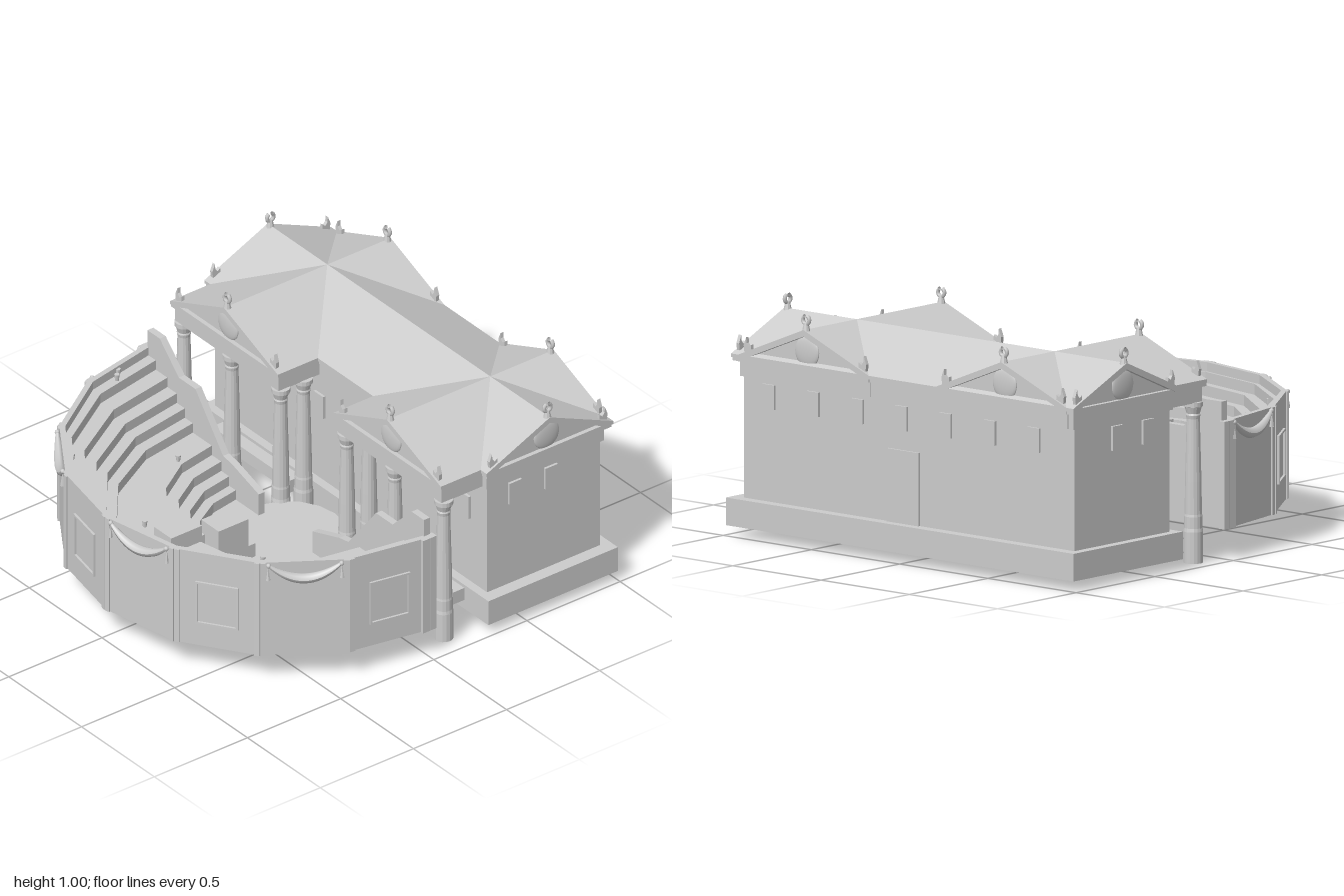
import * as THREE from 'three';

const mat = new THREE.MeshStandardMaterial({ color: 0xcccccc, flatShading: true, side: THREE.DoubleSide });
const smooth = new THREE.MeshStandardMaterial({ color: 0xcccccc, side: THREE.DoubleSide });
const STEP = Math.PI / 8;

function add(parent, name, geo, x = 0, y = 0, z = 0, m = mat) {
  const mesh = new THREE.Mesh(geo, m);
  mesh.name = name;
  mesh.position.set(x, y, z);
  parent.add(mesh);
  return mesh;
}

// box from its extents
function block(parent, name, x0, x1, y0, y1, z0, z1) {
  return add(parent, name, new THREE.BoxGeometry(x1 - x0, y1 - y0, z1 - z0),
    (x0 + x1) / 2, (y0 + y1) / 2, (z0 + z1) / 2);
}

function polygon(points) {
  return new THREE.Shape(points.map(([x, y]) => new THREE.Vector2(x, y)));
}

function extrude(shape, depth) {
  return new THREE.ExtrudeGeometry(shape, { depth, bevelEnabled: false });
}

// faceted half ring swept from a profile of [radiusX, radiusZ, y]
function halfRing(profile) {
  const pos = [];
  const at = ([rx, rz, y], k) => {
    const a = -Math.PI / 2 + k * STEP;
    return [Math.sin(a) * rx, y, Math.cos(a) * rz];
  };
  for (let i = 0; i < profile.length - 1; i++) {
    for (let k = 0; k < 8; k++) {
      const a = at(profile[i], k), b = at(profile[i], k + 1);
      const c = at(profile[i + 1], k + 1), d = at(profile[i + 1], k);
      pos.push(...a, ...b, ...c, ...a, ...c, ...d);
    }
  }
  const geo = new THREE.BufferGeometry();
  geo.setAttribute('position', new THREE.Float32BufferAttribute(pos, 3));
  geo.computeVertexNormals();
  return geo;
}

// upright horn at gable corners
function cornerOrnament(parent, x, y, z, side) {
  const s = polygon([[-0.022, 0], [0.018, 0], [0.022, 0.03], [0.008, 0.065], [0.006, 0.04], [-0.006, 0.025], [-0.02, 0.035]]);
  const horn = add(parent, 'cornerOrnament', extrude(s, 0.016), x, y, z - 0.008);
  horn.scale.x = side;
}

// open ring on a short foot at the gable peak
function peakOrnament(parent, y, z) {
  add(parent, 'peakFoot', new THREE.CylinderGeometry(0.01, 0.018, 0.036, 8), 0, y + 0.012, z);
  const ring = add(parent, 'peakRing', new THREE.TorusGeometry(0.018, 0.009, 6, 14, Math.PI * 1.7), 0, y + 0.043, z, smooth);
  ring.rotation.z = Math.PI * 0.65;
}

// gabled roof along local z, from -length/2 to length/2, with a pediment at each end
function gableRoof(half, length) {
  const g = new THREE.Group();
  const y0 = 0.772, y1 = 0.938, t = 0.028;
  add(g, 'pediment', extrude(polygon([[-half + 0.02, y0], [half - 0.02, y0], [0, y1 - 0.01]]), length - 0.05), 0, 0, -length / 2 + 0.025);
  const slab = polygon([[-half, y0], [-half, y0 + 0.015], [0, y1], [half, y0 + 0.015], [half, y0], [half - 0.03, y0], [0, y1 - t], [-half + 0.03, y0]]);
  add(g, 'roofSlopes', extrude(slab, length), 0, 0, -length / 2);
  for (const end of [-1, 1]) {
    const disc = add(g, 'pedimentBoss', new THREE.SphereGeometry(0.068, 20, 14), 0, 0.842, end * (length / 2 - 0.025), smooth);
    disc.scale.z = 0.2;
    const z = end * (length / 2 - 0.018);
    peakOrnament(g, y1 - 0.002, z);
    for (const s of [-1, 1]) cornerOrnament(g, s * (half - 0.045), 0.8, z, s);
  }
  return g;
}

function column(parent, x, z) {
  const pts = [[0, 0], [0.042, 0], [0.042, 0.135], [0.039, 0.15], [0.039, 0.2], [0.037, 0.21], [0.035, 0.35],
    [0.028, 0.62], [0.031, 0.635], [0.028, 0.642], [0.037, 0.67], [0.041, 0.672], [0.041, 0.692], [0, 0.692]];
  add(parent, 'column', new THREE.LatheGeometry(pts.map(p => new THREE.Vector2(...p)), 16), x, 0, z);
}

function buildHall() {
  const g = new THREE.Group();
  g.name = 'stageHall';
  block(g, 'podium', -0.985, 0.985, 0.046, 0.165, -1, -0.305);
  block(g, 'walls', -0.945, 0.925, 0.165, 0.7, -0.95, -0.345);
  block(g, 'entablature', -0.955, 0.935, 0.69, 0.765, -0.965, -0.335);
  block(g, 'cornice', -0.975, 0.955, 0.758, 0.782, -0.99, -0.32);

  const main = gableRoof(0.34, 1.94);
  main.name = 'mainRoof';
  main.rotation.y = Math.PI / 2;
  main.position.set(-0.01, 0, -0.655);
  g.add(main);

  // two porticoed cross wings
  for (const s of [-1, 1]) {
    const cx = -0.01 + s * 0.56;
    block(g, 'wingEntablature', cx - 0.355, cx + 0.355, 0.69, 0.765, -0.97, -0.115);
    block(g, 'wingCornice', cx - 0.37, cx + 0.37, 0.758, 0.782, -0.995, -0.105);
    const roof = gableRoof(0.37, 0.895);
    roof.name = 'wingRoof';
    roof.position.set(cx, 0, -0.5475);
    g.add(roof);
    for (const dx of [-0.33, 0, 0.335]) column(g, cx + dx, -0.143);
    column(g, cx - s * 0.335, -0.265);
    block(g, 'entryStep', cx - 0.27, cx + 0.27, 0.09, 0.15, -0.31, -0.245);
    for (const z of [-0.49, -0.683]) {
      const x = -0.01 + s * 0.935;
      block(g, 'sideWindow', x - 0.012, x + 0.012, 0.565, 0.67, z - 0.033, z + 0.033);
    }
  }
  for (let k = -3; k <= 3; k++) {
    const x = 0.03 + k * 0.25;
    block(g, 'backWindow', x - 0.033, x + 0.033, 0.565, 0.67, -0.96, -0.945);
    if (k) block(g, 'frontWindow', x - 0.033, x + 0.033, 0.48, 0.59, -0.35, -0.333);
  }
  block(g, 'backDoor', -0.07, 0.11, 0.165, 0.48, -0.96, -0.945);
  return g;
}

// draped swag, thick in the middle, with a knot and tail at each end
function garland() {
  const g = new THREE.Group();
  g.name = 'garland';
  const curve = new THREE.QuadraticBezierCurve3(
    new THREE.Vector3(-0.155, 0.588, 0), new THREE.Vector3(0, 0.45, 0), new THREE.Vector3(0.155, 0.588, 0));
  const geo = new THREE.TubeGeometry(curve, 20, 0.023, 8);
  const p = geo.attributes.position;
  const v = new THREE.Vector3();
  for (let i = 0; i < p.count; i++) {
    const t = Math.floor(i / 9) / 20;
    const c = curve.getPointAt(t);
    v.fromBufferAttribute(p, i).sub(c).multiplyScalar(0.3 + 0.7 * Math.sin(Math.PI * t)).add(c);
    p.setXYZ(i, v.x, v.y, v.z);
  }
  geo.computeVertexNormals();
  add(g, 'swag', geo, 0, 0, 0, smooth);
  for (const s of [-1, 1]) {
    add(g, 'knot', new THREE.SphereGeometry(0.011, 8, 6), s * 0.155, 0.587, 0, smooth);
    add(g, 'tail', new THREE.ConeGeometry(0.011, 0.07, 6), s * 0.157, 0.552, 0);
  }
  return g;
}

function buildTheatre() {
  const g = new THREE.Group();
  g.name = 'theatre';
  const base = 0.135;

  // outer wall ring
  add(g, 'outerWall', halfRing([[0.945, 0.955, base], [0.97, 0.98, base], [0.97, 0.98, 0.598], [0.945, 0.955, 0.598], [0.945, 0.955, base]]));

  // seat rows: [radiusX, radiusZ] of each riser
  const rows = [[0.345, 0.4], [0.39, 0.44], [0.445, 0.485], [0.51, 0.53],
    [0.64, 0.79], [0.695, 0.83], [0.75, 0.87], [0.815, 0.91], [0.895, 0.945]];
  const profile = [[0.235, 0.245, base]];
  let y = base;
  for (const [rx, rz] of rows) {
    profile.push([rx, rz, y]);
    y += 0.047;
    profile.push([rx, rz, y]);
  }
  profile.push([0.96, 0.965, y]);
  add(g, 'seating', halfRing(profile));
  add(g, 'orchestra', new THREE.CylinderGeometry(0.25, 0.25, 0.035, 18), 0, 0.1175, 0);

  // central stair blocks above an entrance passage
  block(g, 'passage', -0.06, 0.06, base, 0.25, 0.5, 0.955);
  block(g, 'lowerStair', -0.06, 0.06, base, 0.335, 0.26, 0.42);
  block(g, 'lowerStairFoot', -0.06, 0.06, base, 0.2, 0.222, 0.26);
  block(g, 'upperStair', -0.06, 0.06, 0.25, 0.4, 0.51, 0.675);
  block(g, 'upperStairFoot', -0.06, 0.06, 0.25, 0.35, 0.495, 0.51);

  // stepped end walls
  for (const s of [-1, 1]) {
    const shape = polygon([[0.185, base], [0.185, 0.24], [0.37, 0.3], [0.43, 0.31], [0.62, 0.55],
      [0.735, 0.55], [0.865, 0.68], [0.95, 0.68], [0.95, base]].map(([px, py]) => [px * s, py]));
    add(g, 'endWall', extrude(shape, 0.032), 0, 0, -0.018);
    block(g, 'endPier', s * 0.962 - 0.016, s * 0.962 + 0.016, base, 0.598, -0.033, 0.04);
  }

  // panels alternate between framed niches and garlands
  const frame = polygon([[-0.095, 0.245], [0.095, 0.245], [0.095, 0.455], [-0.095, 0.455]]);
  frame.holes.push(polygon([[-0.085, 0.255], [-0.085, 0.445], [0.085, 0.445], [0.085, 0.255]]));
  for (let k = 0; k < 8; k++) {
    const a = -Math.PI / 2 + (k + 0.5) * STEP;
    const panel = new THREE.Group();
    panel.name = 'wallPanel';
    panel.rotation.y = a;
    // rest on the wall's facet
    const r = Math.cos(STEP / 2) * (0.97 * Math.sin(a) ** 2 + 0.98 * Math.cos(a) ** 2);
    panel.position.set(Math.sin(a) * r, 0, Math.cos(a) * r);
    if (k % 2 === 0) {
      const swag = garland();
      swag.position.z = 0.01;
      panel.add(swag);
    } else {
      add(panel, 'nicheFrame', extrude(frame, 0.016), 0, 0, -0.006);
    }
    for (const s of [-1, 1]) block(panel, 'pilaster', s * 0.178 - 0.012, s * 0.178 + 0.012, base, 0.598, -0.01, 0.008);
    g.add(panel);
  }

  // small pots left on the seats
  const pots = [[0.36, 0.04], [0.355, 0.08], [-0.5, 0.2], [-0.2, 0.31], [0.35, 0.41],
    [-0.18, 0.63], [0.65, 0.56], [-0.55, 0.73], [-0.87, 0.24], [-0.9, 0.21]];
  for (const [x, z] of pots) {
    const level = rows.filter(([rx, rz]) => Math.hypot(x / rx, z / rz) > 0.99).length;
    add(g, 'pot', new THREE.CylinderGeometry(0.012, 0.008, 0.03, 8), x, base + 0.015 + level * 0.047, z);
  }
  return g;
}

export function createModel() {
  const model = new THREE.Group();
  model.name = 'theatreComplex';
  model.add(buildHall(), buildTheatre());
  return model;
}
